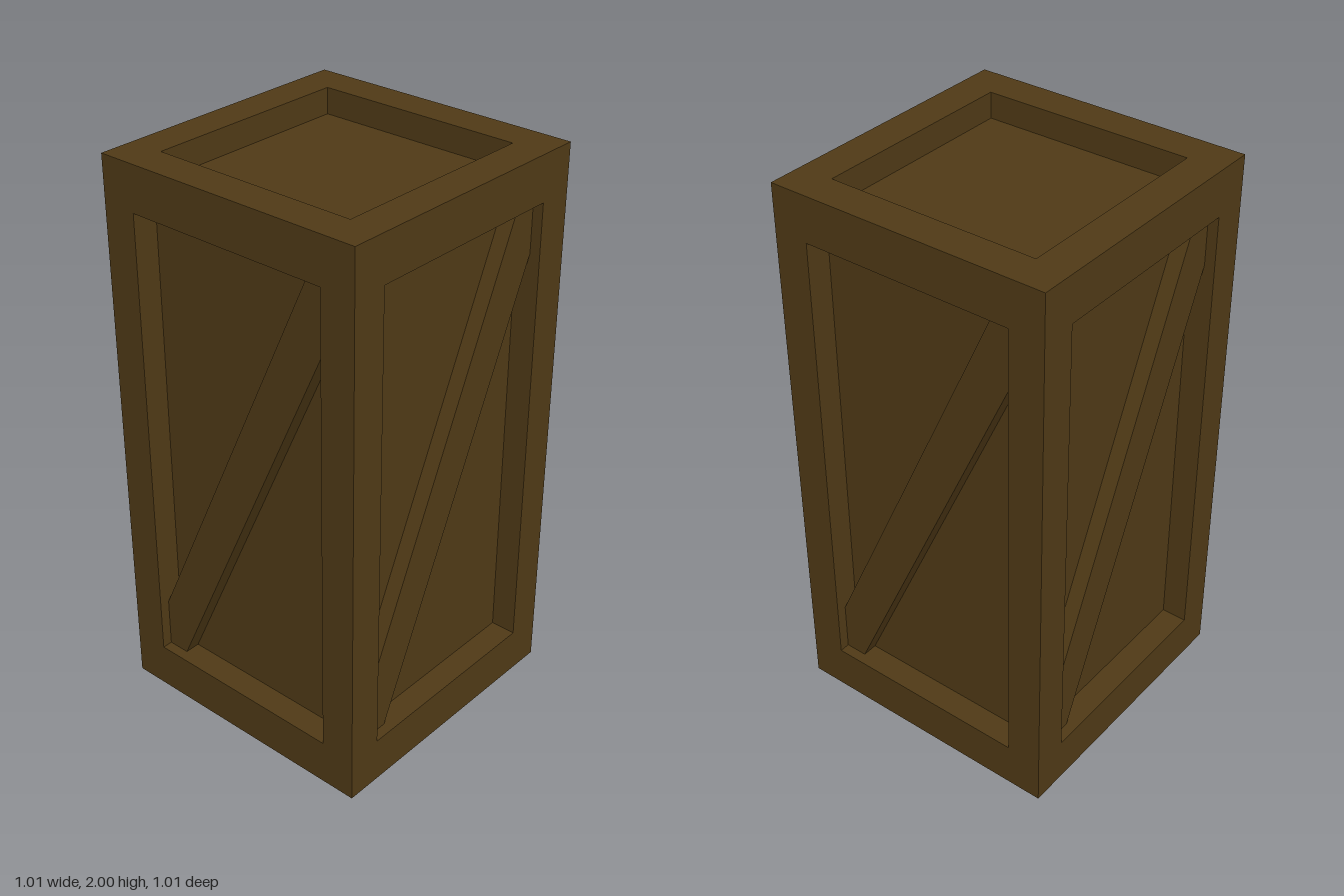
import * as THREE from 'three';

const HALF = 0.507, HEIGHT = 2;          // outer size
const OPEN = 0.38, LOW = 0.165, HIGH = 1.838; // frame opening
const DEPTH = 0.092;                     // panel recess
const BRACE_DEPTH = 0.037;               // brace recess

export function createModel() {
  const crate = new THREE.Group();
  crate.name = 'crate';
  const wood = new THREE.MeshStandardMaterial({ color: 0x503a16, flatShading: true });

  const add = (name, geometry, parent) => {
    const mesh = new THREE.Mesh(geometry, wood);
    mesh.name = name;
    parent.add(mesh);
    return mesh;
  };

  // Recessed panels on all six faces are one inner block
  const inner = HALF - DEPTH;
  add('panels', new THREE.BoxGeometry(inner * 2, HEIGHT - DEPTH * 2, inner * 2), crate)
    .position.y = HEIGHT / 2;

  const beam = HALF - OPEN;
  const mid = (HALF + OPEN) / 2;

  // Diagonal brace, clipped to the frame opening
  const braceShape = new THREE.Shape([
    [-OPEN, LOW], [-0.3, LOW], [OPEN, 1.655],
    [OPEN, HIGH], [0.3, HIGH], [-OPEN, 0.348],
  ].map(([x, y]) => new THREE.Vector2(x, y)));
  const braceGeometry = new THREE.ExtrudeGeometry(braceShape, {
    depth: DEPTH - BRACE_DEPTH, bevelEnabled: false,
  });

  // Each side: one corner post, two rails and a brace
  for (let i = 0; i < 4; i++) {
    const side = new THREE.Group();
    side.name = ['front', 'left', 'back', 'right'][i] + 'Side';
    side.rotation.y = i * Math.PI / 2;
    crate.add(side);

    add('cornerPost', new THREE.BoxGeometry(beam, HEIGHT, beam), side)
      .position.set(mid, HEIGHT / 2, mid);
    add('bottomRail', new THREE.BoxGeometry(OPEN * 2, LOW, beam), side)
      .position.set(0, LOW / 2, mid);
    add('topRail', new THREE.BoxGeometry(OPEN * 2, HEIGHT - HIGH, beam), side)
      .position.set(0, (HEIGHT + HIGH) / 2, mid);
    add('diagonalBrace', braceGeometry, side).position.z = inner;
  }
  return crate;
}
